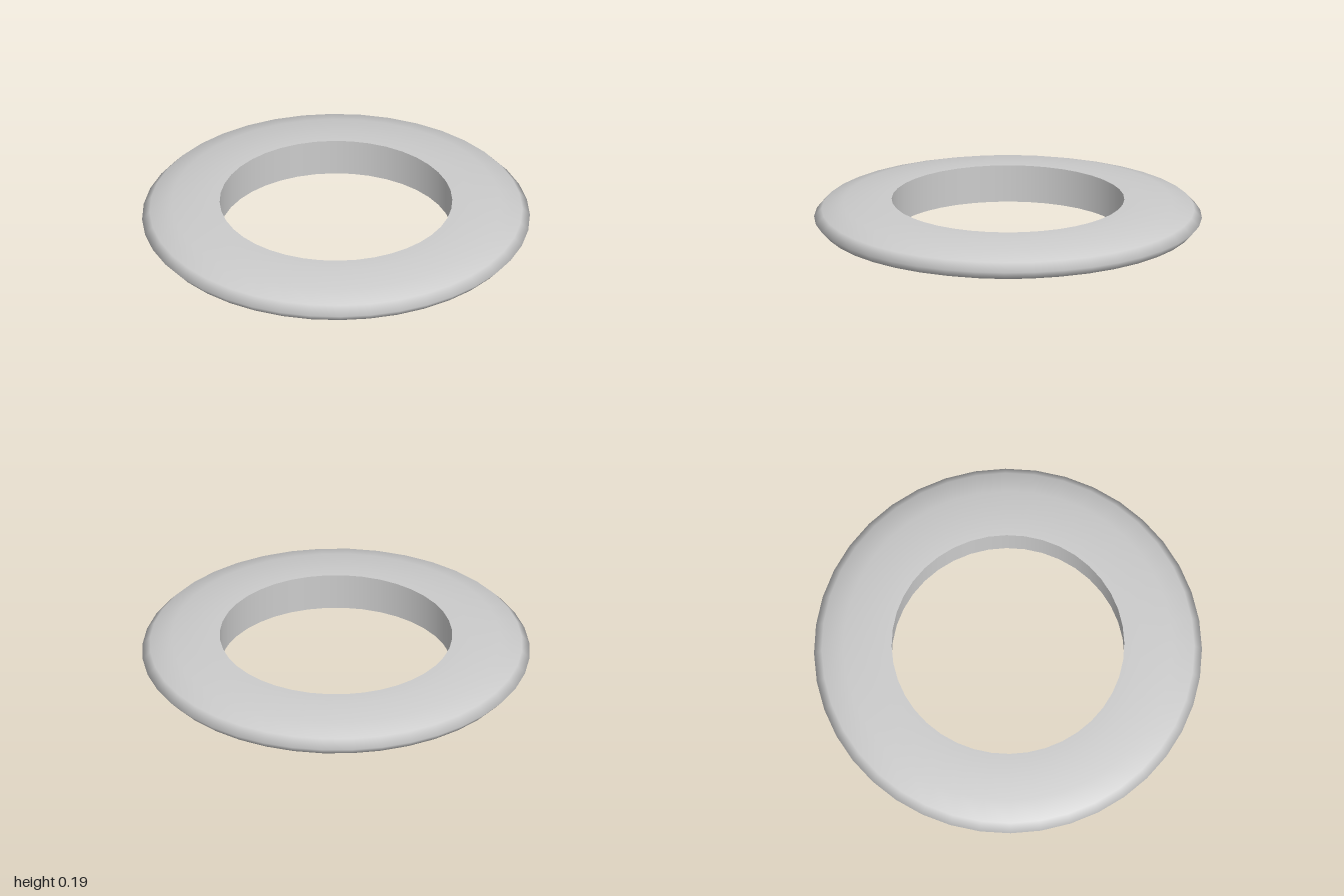
import * as THREE from 'three';

const SIDES = 40;
const INNER = 0.6;    // hole radius
const RIM = 0.4;      // ring width
const HALF = 0.0975;  // half of the thickness

export function createModel() {
  const group = new THREE.Group();
  group.name = 'ring';
  const material = new THREE.MeshStandardMaterial({ color: 0xcccccc });

  const addLathe = (name, points) => {
    const mesh = new THREE.Mesh(new THREE.LatheGeometry(points, SIDES), material);
    mesh.name = name;
    mesh.position.y = HALF;
    group.add(mesh);
  };

  // Rounded outer body: half an ellipse, tapering to the rim, flat next to the hole
  const body = [new THREE.Vector2(INNER, -HALF)];
  for (let i = -3; i <= 3; i++) {
    const a = (i * Math.PI) / 7;
    const y = (HALF * Math.sin(a)) / Math.sin((3 * Math.PI) / 7);
    body.push(new THREE.Vector2(INNER + RIM * Math.cos(a), y));
  }
  body.push(new THREE.Vector2(INNER, HALF));
  addLathe('outerBody', body);

  // Straight wall of the hole, facing the centre
  addLathe('innerWall', [new THREE.Vector2(INNER, HALF), new THREE.Vector2(INNER, -HALF)]);

  return group;
}
